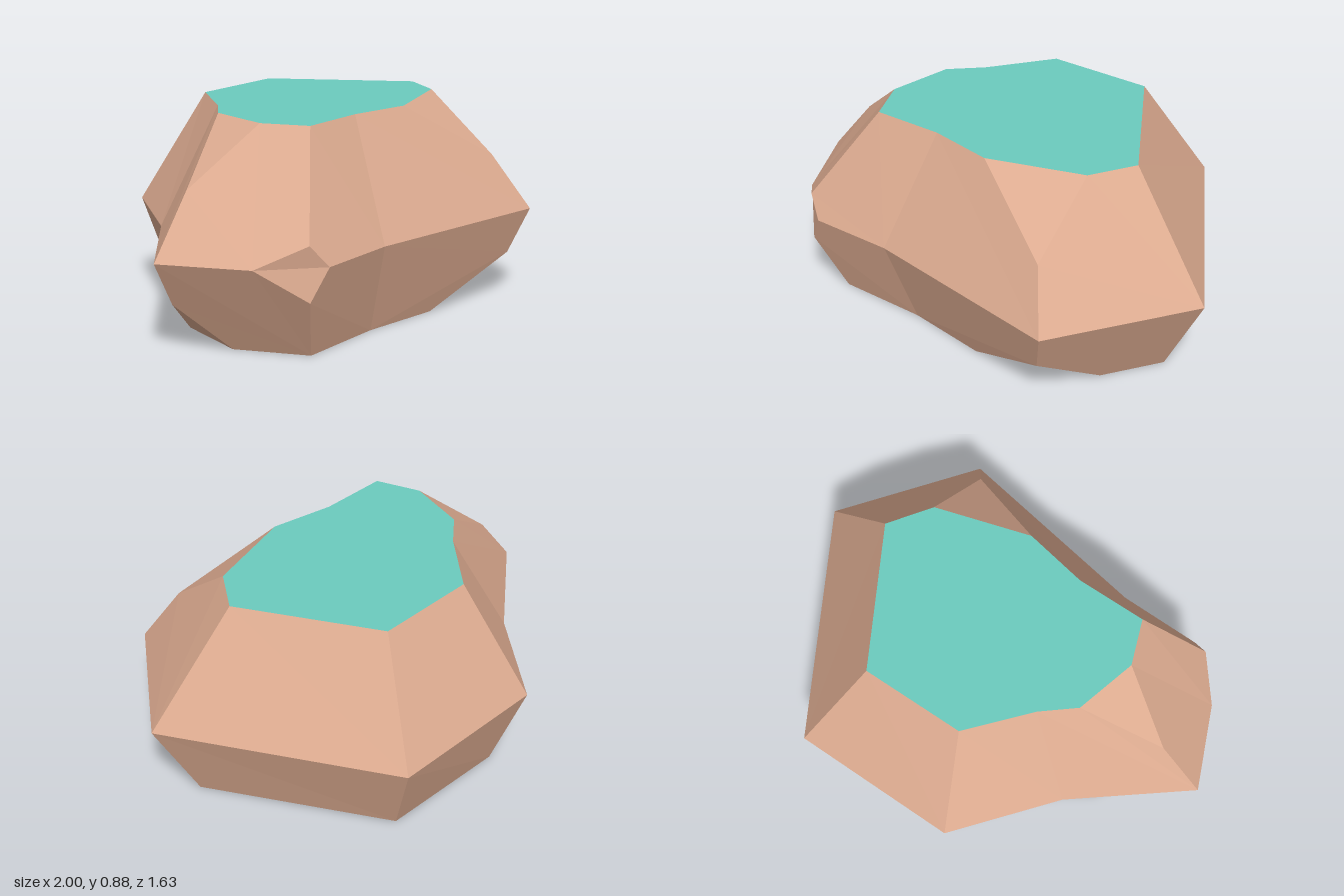
import * as THREE from 'three';

export function createModel() {
  const stone = new THREE.MeshStandardMaterial({ name: 'warm brown stone', color: 0xdeac91 });
  const grass = new THREE.MeshStandardMaterial({ name: 'teal grass', color: 0x6bcbbe });

  const ring = (y, points) => points.map(([x, z]) => new THREE.Vector3(x, y, z));

  // Three outlines, each running clockwise as seen from above, starting at the back
  const T = ring(0.88, [[0.12, -0.5], [0.61, -0.06], [0.55, 0.15], [0.2, 0.4], [-0.08, 0.44],
    [-0.37, 0.54], [-0.5, 0.38], [-0.52, 0.1], [-0.43, -0.05], [-0.31, -0.35]]);
  const M = ring(0.39, [[0.19, -0.82], [1, -0.1], [0.78, 0.56], [-0.12, 0.7], [-0.47, 0.815],
    [-0.74, 0.69], [-1, 0.4], [-0.69, -0.09], [-0.51, -0.58]]);
  const B = ring(0, [[0.15, -0.65], [0.8, -0.08], [0.71, 0.19], [0.27, 0.51], [-0.09, 0.57],
    [-0.47, 0.69], [-0.68, 0.45], [-0.68, 0.12], [-0.55, -0.07], [-0.41, -0.47]]);

  // Tips of the chipped corners: upper and lower, at front left, front right and far right
  const U = [[0.64, 0.63, 0.46], [-0.55, 0.48, 0.795], [-0.81, 0.64, 0.33]].map((p) => new THREE.Vector3(...p));
  const L = [[0.7, 0.195, 0.51], [-0.55, 0.255, 0.8], [-0.9, 0.2, 0.36]].map((p) => new THREE.Vector3(...p));

  // Facets as counter-clockwise corner lists, each cut into a fan
  const facetMesh = (name, facets, material) => {
    const corners = [];
    for (const f of facets) {
      for (let i = 1; i < f.length - 1; i++) corners.push(f[0], f[i], f[i + 1]);
    }
    const geometry = new THREE.BufferGeometry().setFromPoints(corners);
    geometry.computeVertexNormals();
    const mesh = new THREE.Mesh(geometry, material);
    mesh.name = name;
    return mesh;
  };

  // Flat caps fan out from their middle
  const cap = (points) => {
    const centre = points.reduce((sum, p) => sum.add(p), new THREE.Vector3()).divideScalar(points.length);
    return [centre, ...points, points[0]];
  };

  const upper = [
    [M[0], T[0], T[1], M[1]],
    [M[1], T[1], T[2], U[0], M[2]],
    [U[0], T[2], T[3]],
    [M[2], U[0], T[3], T[4], M[3]],
    [M[3], T[4], T[5], U[1], M[4]],
    [M[4], U[1], M[5]],
    [M[5], U[1], T[5], T[6], U[2], M[6]],
    [U[2], T[6], T[7]],
    [M[6], U[2], T[7], T[8], M[7]],
    [M[7], T[8], T[9], M[8]],
    [M[8], T[9], T[0], M[0]],
  ];
  const lower = [
    [B[0], M[0], M[1], B[1]],
    [B[1], M[1], M[2], L[0], B[2]],
    [B[2], L[0], B[3]],
    [L[0], M[2], M[3], B[4], B[3]],
    [B[4], M[3], M[4], L[1], B[5]],
    [L[1], M[4], M[5]],
    [B[5], L[1], M[5], M[6], L[2], B[6]],
    [B[6], L[2], B[7]],
    [B[7], L[2], M[6], M[7], B[8]],
    [B[8], M[7], M[8], B[9]],
    [B[9], M[8], M[0], B[0]],
  ];

  const rock = new THREE.Group();
  rock.name = 'rock';
  rock.add(
    facetMesh('upperSlopes', upper, stone),
    facetMesh('lowerSlopes', lower, stone),
    facetMesh('underside', [cap(B)], stone),
    facetMesh('grassTop', [cap([...T].reverse())], grass),
  );
  return rock;
}
